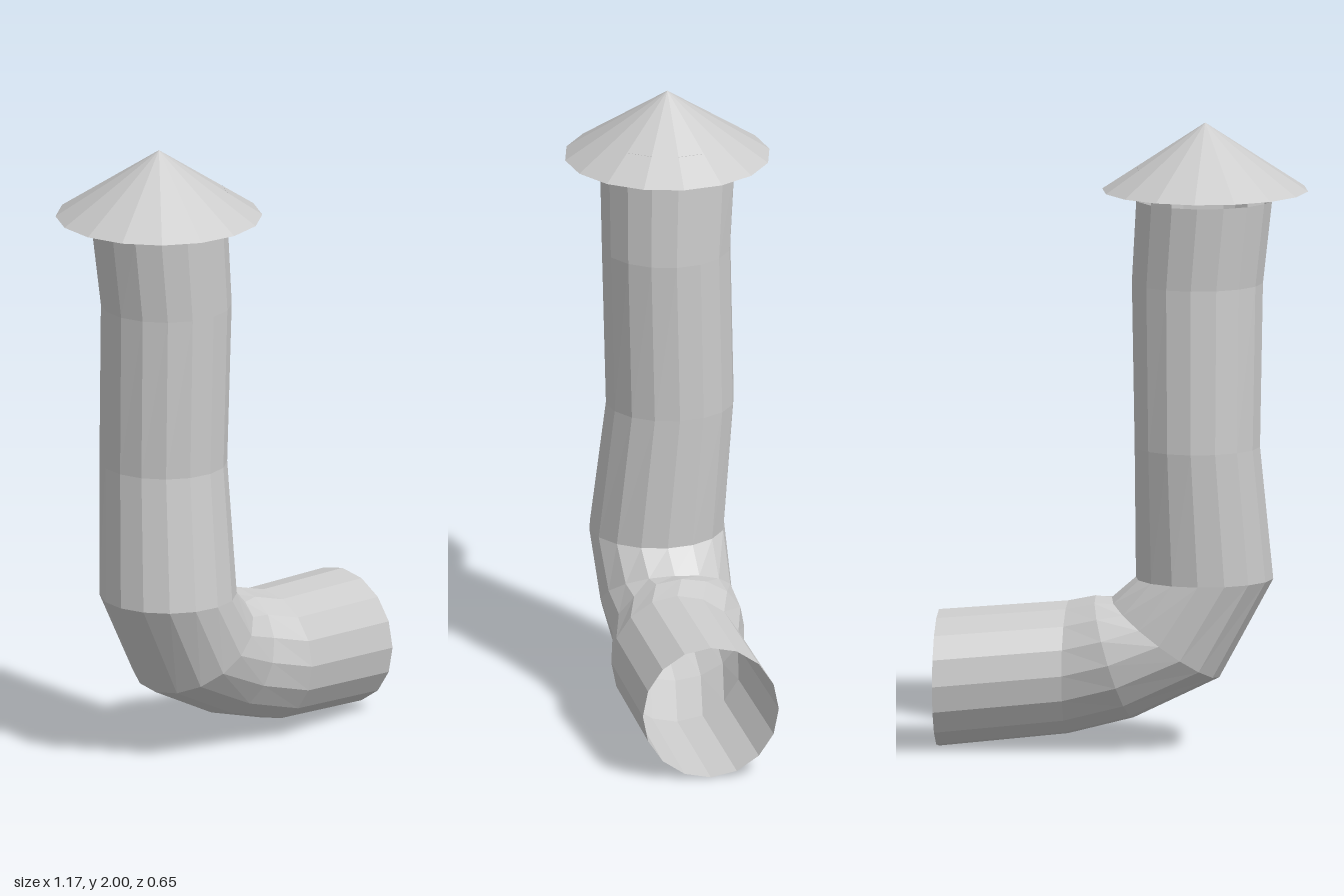
import * as THREE from 'three';

const SIDES = 16;

// Each ring: outer point of the bend (x, y), inner point (x, y), z centre, z radius
const RINGS = [
  [-0.470, 1.755, -0.040, 1.755, 0.000, 0.215],
  [-0.440, 1.490, -0.025, 1.490, 0.008, 0.205],
  [-0.432, 0.970, -0.035, 0.970, -0.004, 0.204],
  [-0.470, 0.545, -0.035, 0.545, 0.035, 0.215],
  [-0.300, 0.230, 0.040, 0.480, 0.025, 0.210],
  [-0.030, 0.100, 0.090, 0.487, 0.012, 0.210],
  [0.180, 0.042, 0.180, 0.465, 0.040, 0.211],
  [0.585, 0.002, 0.585, 0.437, 0.000, 0.217],
];

// Point number i on a ring, counted from +z towards the inner side of the bend
function ringPoint([ox, oy, ix, iy, zc, rz], i) {
  const a = (i % SIDES) / SIDES * Math.PI * 2;
  const t = (1 + Math.sin(a)) / 2;
  return [ox + (ix - ox) * t, oy + (iy - oy) * t, zc + rz * Math.cos(a)];
}

// Walls between neighbouring rings; keep(side) chooses which sides are filled
function skin(rings, keep = () => true) {
  const pos = [];
  for (let r = 0; r < rings.length - 1; r++) {
    for (let i = 0; i < SIDES; i++) {
      if (!keep(i)) continue;
      const a = ringPoint(rings[r], i), b = ringPoint(rings[r], i + 1);
      const c = ringPoint(rings[r + 1], i), d = ringPoint(rings[r + 1], i + 1);
      pos.push(...a, ...c, ...b, ...b, ...c, ...d);
    }
  }
  const geo = new THREE.BufferGeometry();
  geo.setAttribute('position', new THREE.Float32BufferAttribute(pos, 3));
  geo.computeVertexNormals();
  return geo;
}

export function createModel() {
  const group = new THREE.Group();
  const metal = new THREE.MeshStandardMaterial({
    color: 0xcccccc, flatShading: true, side: THREE.DoubleSide,
  });
  const add = (name, geo) => {
    const mesh = new THREE.Mesh(geo, metal);
    mesh.name = name;
    group.add(mesh);
    return mesh;
  };

  // Bent pipe, open at the lower end
  add('pipe', skin(RINGS));

  // Tabs on every second side hold the cap above the pipe
  const tabTop = [-0.470, 1.857, -0.040, 1.857, 0, 0.215];
  add('capTabs', skin([tabTop, RINGS[0]], (i) => i % 2 === 0));

  // Conical rain cap, open underneath
  const cap = add('rainCap', new THREE.ConeGeometry(0.326, 0.215, SIDES, 1, true));
  cap.position.set(-0.258, 1.8925, 0);

  return group;
}
